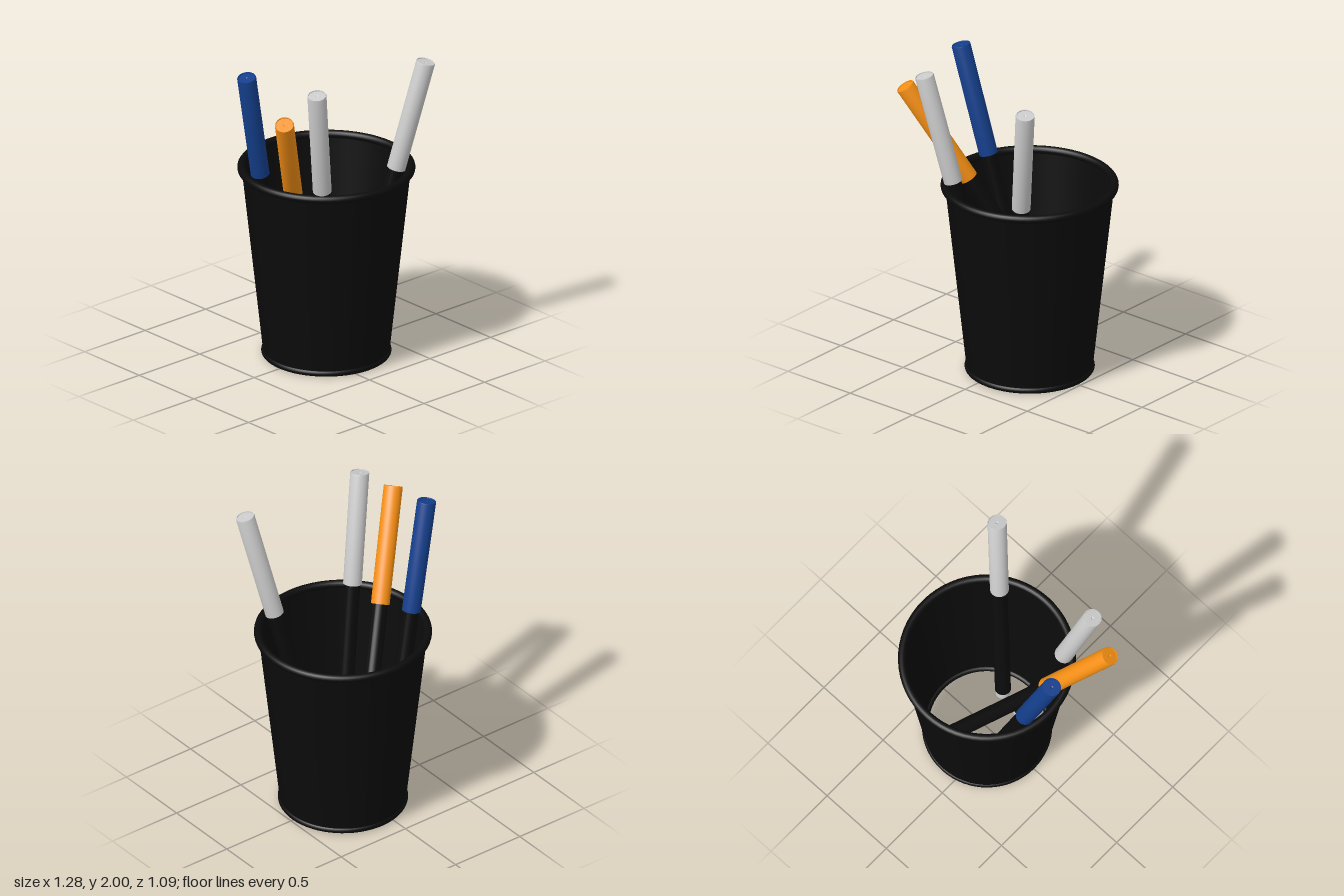
import * as THREE from 'three';
import { toCreasedNormals } from 'three/addons/utils/BufferGeometryUtils.js';

const BLACK = 0x0b0b0b, GREY = 0xcccccc, BLUE = 0x143f8c, ORANGE = 0xf58f14;

const material = (color) => new THREE.MeshStandardMaterial({ color, side: THREE.DoubleSide });

// Turned part from [radius, height] points listed from the bottom up
function turned(name, points, color, segments = 32) {
  const profile = points.map(([r, y]) => new THREE.Vector2(r, y));
  const geometry = toCreasedNormals(new THREE.LatheGeometry(profile, segments), 0.6);
  const mesh = new THREE.Mesh(geometry, material(color));
  mesh.name = name;
  return mesh;
}

function ring(name, radius, tube, y) {
  const mesh = new THREE.Mesh(new THREE.TorusGeometry(radius, tube, 16, 64), material(BLACK));
  mesh.rotation.x = Math.PI / 2;
  mesh.position.y = y;
  mesh.name = name;
  return mesh;
}

// Tapered cup, open at both ends, with a rolled rim and a base ring
function createCup() {
  const cup = new THREE.Group();
  cup.name = 'cup';
  cup.add(
    turned('cupWall', [[0.378, 0.02], [0.388, 0.02], [0.52, 1.237], [0.51, 1.237], [0.378, 0.02]], BLACK, 64),
    ring('cupRim', 0.521, 0.026, 1.237),
    ring('baseRing', 0.38, 0.02, 0.022),
  );
  cup.position.x = 0.095;
  return cup;
}

// Pen running from its lower end to the top of its cap
function createPen(name, color, bottom, top) {
  const pen = new THREE.Group();
  pen.name = name;
  const start = new THREE.Vector3(...bottom);
  const axis = new THREE.Vector3(...top).sub(start);
  const length = axis.length();
  const capStart = length - 0.73;
  pen.add(
    // coloured end plug with a small dimple
    turned('endPlug', [[0, 0.008], [0.01, 0], [0.038, 0], [0.046, 0.012], [0.046, 0.06]], color),
    // dark barrel
    turned('barrel', [[0, 0.055], [0.049, 0.055], [0.049, capStart + 0.03]], BLACK),
    // cap with a slim edge, a slightly sunken top and a dimple
    turned('cap', [[0.047, capStart], [0.058, capStart], [0.059, length - 0.006], [0.057, length],
      [0.052, length], [0.051, length - 0.005], [0.01, length - 0.005], [0, length - 0.012]], color),
  );
  pen.position.copy(start);
  pen.quaternion.setFromUnitVectors(new THREE.Vector3(0, 1, 0), axis.normalize());
  return pen;
}

export function createModel() {
  const model = new THREE.Group();
  model.name = 'penCup';
  model.add(
    createCup(),
    createPen('bluePen', BLUE, [-0.08, 0.18, -0.22], [-0.51, 1.985, -0.06]),
    createPen('orangePen', ORANGE, [0.175, 0.25, -0.27], [-0.59, 1.83, 0.375]),
    createPen('leftGreyPen', GREY, [0.13, 0.18, 0.18], [0.475, 1.985, 0.49]),
    createPen('rightGreyPen', GREY, [-0.02, 0.18, 0.165], [-0.38, 1.985, 0.44]),
  );
  return model;
}
